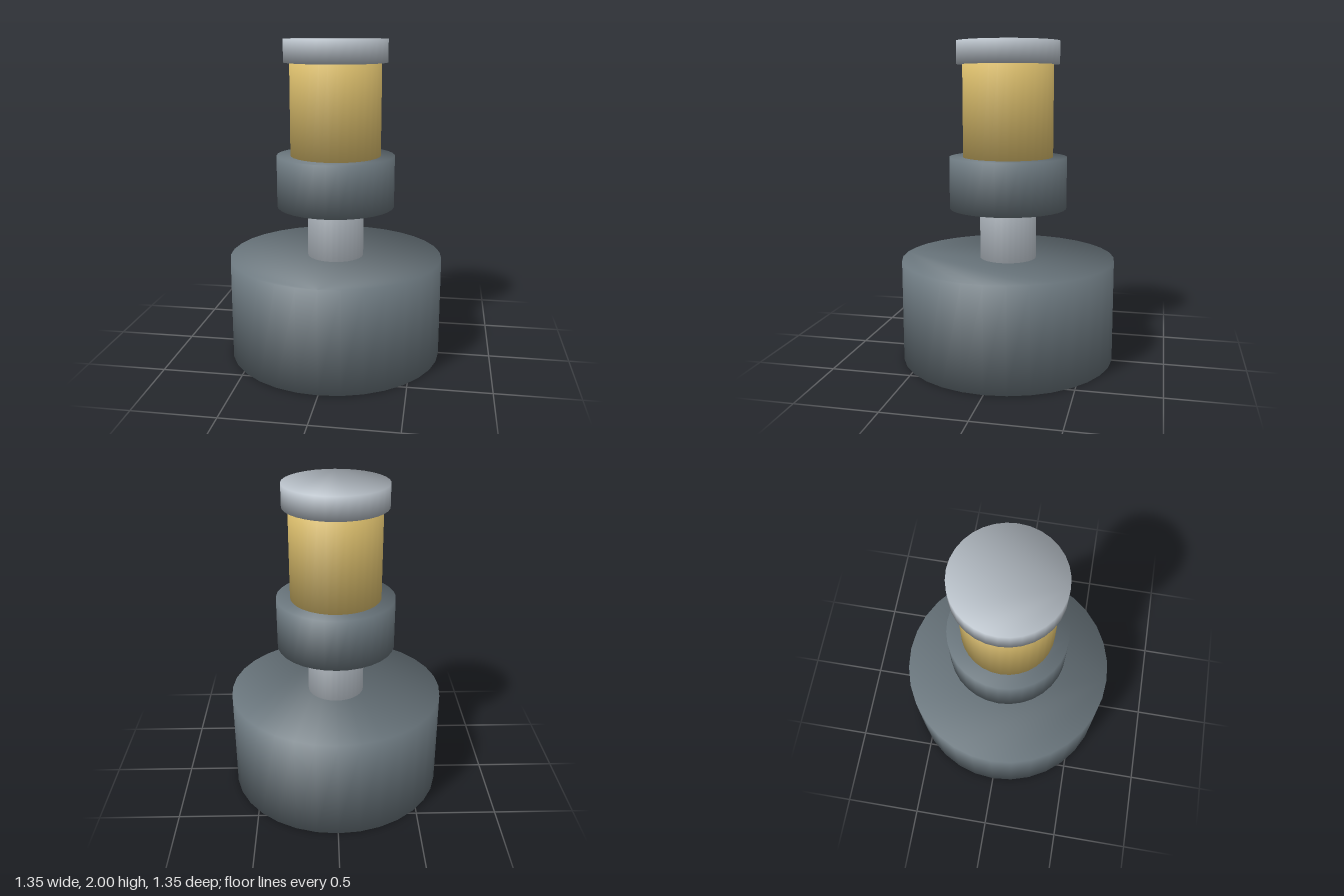
import * as THREE from 'three';

const SIDES = 32;

// Capped cylinder whose rim vertices are shared by wall and caps,
// so shading rolls smoothly over the edges.
function softCylinder(radius, y0, y1) {
  const pos = [], nor = [], index = [];
  for (const [y, ny] of [[y0, -1], [y1, 1]]) {
    for (let i = 0; i < SIDES; i++) {
      const a = (i / SIDES) * Math.PI * 2;
      const s = Math.sin(a), c = Math.cos(a);
      pos.push(radius * s, y, radius * c);
      nor.push(s * Math.SQRT1_2, ny * Math.SQRT1_2, c * Math.SQRT1_2);
    }
  }
  // wall
  for (let i = 0; i < SIDES; i++) {
    const j = (i + 1) % SIDES;
    index.push(i, j, SIDES + j, i, SIDES + j, SIDES + i);
  }
  // bottom and top caps
  for (let i = 1; i < SIDES - 1; i++) {
    index.push(0, i + 1, i);
    index.push(SIDES, SIDES + i, SIDES + i + 1);
  }
  const g = new THREE.BufferGeometry();
  g.setAttribute('position', new THREE.Float32BufferAttribute(pos, 3));
  g.setAttribute('normal', new THREE.Float32BufferAttribute(nor, 3));
  g.setIndex(index);
  return g;
}

function material(name, color) {
  const m = new THREE.MeshStandardMaterial({ color });
  m.name = name;
  return m;
}

export function createModel() {
  const darkSteel = material('dark steel', 0x6b777e);
  const lightSteel = material('light steel', 0xb8c0c8);
  const brass = material('brass', 0xd9bc6b);

  // name, radius, bottom, top, material; stem and barrel run into their neighbours
  const parts = [
    ['base', 0.675, 0, 0.645, darkSteel],
    ['stem', 0.178, 0.4, 1.2, lightSteel],
    ['collar', 0.37, 0.967, 1.29, darkSteel],
    ['barrel', 0.283, 1.2, 1.9, brass],
    ['cap', 0.32, 1.86, 2, lightSteel],
  ];

  const group = new THREE.Group();
  group.name = 'stackedPost';
  for (const [name, radius, y0, y1, mat] of parts) {
    const mesh = new THREE.Mesh(softCylinder(radius, y0, y1), mat);
    mesh.name = name;
    group.add(mesh);
  }
  return group;
}
